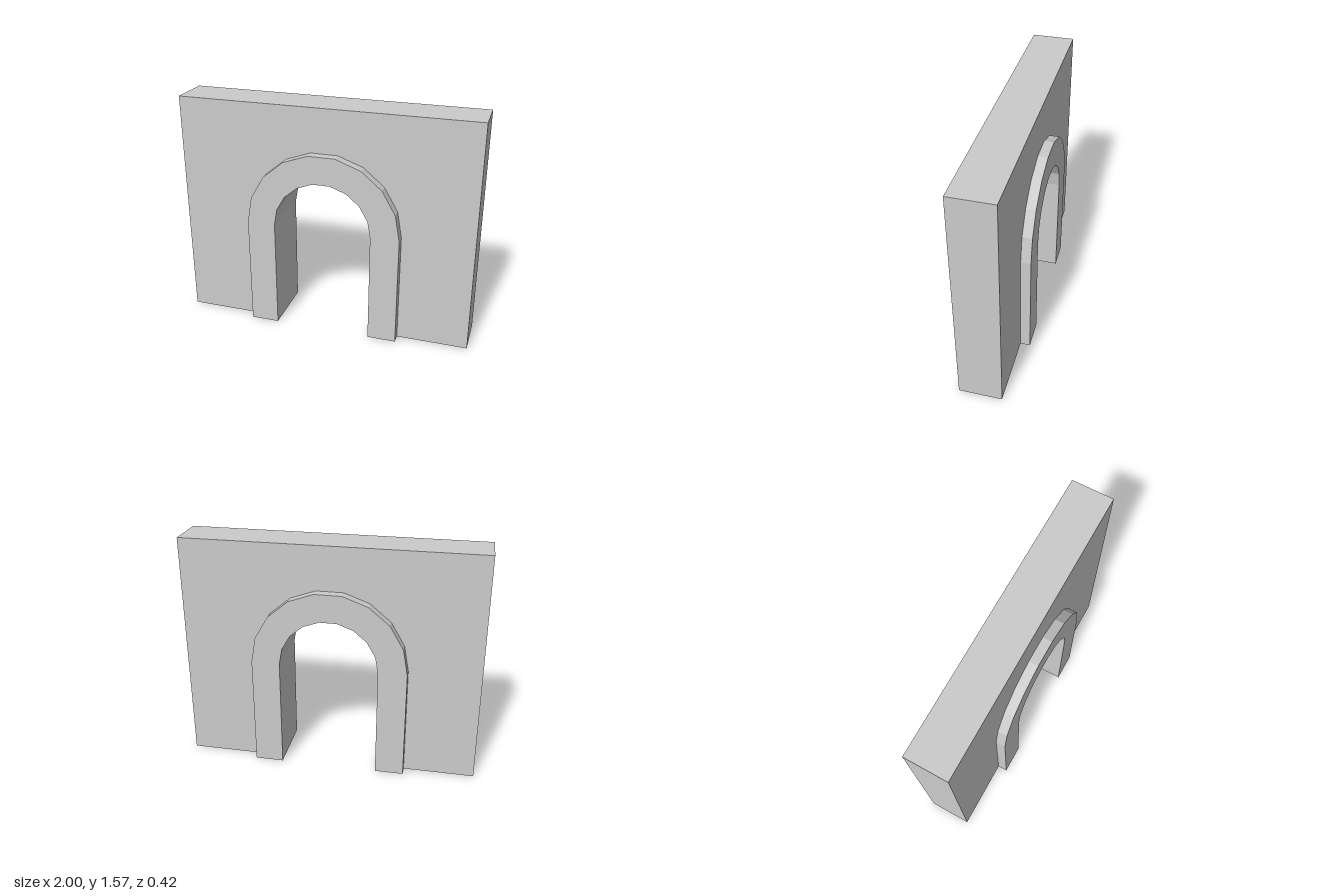
import * as THREE from 'three';

const HEIGHT = 1.57, SPRING = 0.757; // wall top, height where the arch curve starts
const WALL_Z = 0.144, BAND_Z = 0.21; // half depths
const INNER = 0.33, OUTER = 0.522;   // arch radii

const material = new THREE.MeshStandardMaterial({
  color: 0xcccccc, flatShading: true, side: THREE.DoubleSide,
});

// Arch outline from the ground at +x, over the top, to the ground at -x
function archPath(radius, segments = 9) {
  const points = [new THREE.Vector2(radius, 0)];
  for (let i = 0; i <= segments; i++) {
    const a = (i / segments) * Math.PI;
    points.push(new THREE.Vector2(radius * Math.cos(a), SPRING + radius * Math.sin(a)));
  }
  points.push(new THREE.Vector2(-radius, 0));
  return points;
}

// Strip along a path between two depths, facing the right-hand side of travel
function strip(path, z0, z1) {
  const positions = [];
  for (let i = 0; i < path.length - 1; i++) {
    const a = path[i], b = path[i + 1];
    positions.push(a.x, a.y, z0, b.x, b.y, z0, b.x, b.y, z1);
    positions.push(a.x, a.y, z0, b.x, b.y, z1, a.x, a.y, z1);
  }
  const geometry = new THREE.BufferGeometry();
  geometry.setAttribute('position', new THREE.Float32BufferAttribute(positions, 3));
  geometry.computeVertexNormals();
  return geometry;
}

export function createModel() {
  const model = new THREE.Group();
  model.name = 'archway';
  const add = (name, geometry) => {
    const mesh = new THREE.Mesh(geometry, material);
    mesh.name = name;
    model.add(mesh);
    return mesh;
  };

  const inner = archPath(INNER), outer = archPath(OUTER);
  const border = [[1, 0], [1, HEIGHT], [-1, HEIGHT], [-1, 0]].map(([x, y]) => new THREE.Vector2(x, y));
  const wallFace = new THREE.Shape([...border, ...[...outer].reverse()]);
  const bandFace = new THREE.Shape([...outer, ...[...inner].reverse()]);

  // Hollow shell, open underneath: wall ends and top, then the arch lining
  add('wallEdges', strip(border, -WALL_Z, WALL_Z));
  add('archLining', strip([...inner].reverse(), -BAND_Z, BAND_Z));

  // Flat faces and the raised band's rim on both sides
  for (const [side, turn] of [['front', 0], ['back', Math.PI]]) {
    const parts = [
      add(side + 'Wall', new THREE.ShapeGeometry(wallFace).translate(0, 0, WALL_Z)),
      add(side + 'ArchBand', new THREE.ShapeGeometry(bandFace).translate(0, 0, BAND_Z)),
      add(side + 'BandRim', strip(outer, WALL_Z, BAND_Z)),
    ];
    for (const part of parts) part.rotation.y = turn;
  }
  return model;
}
